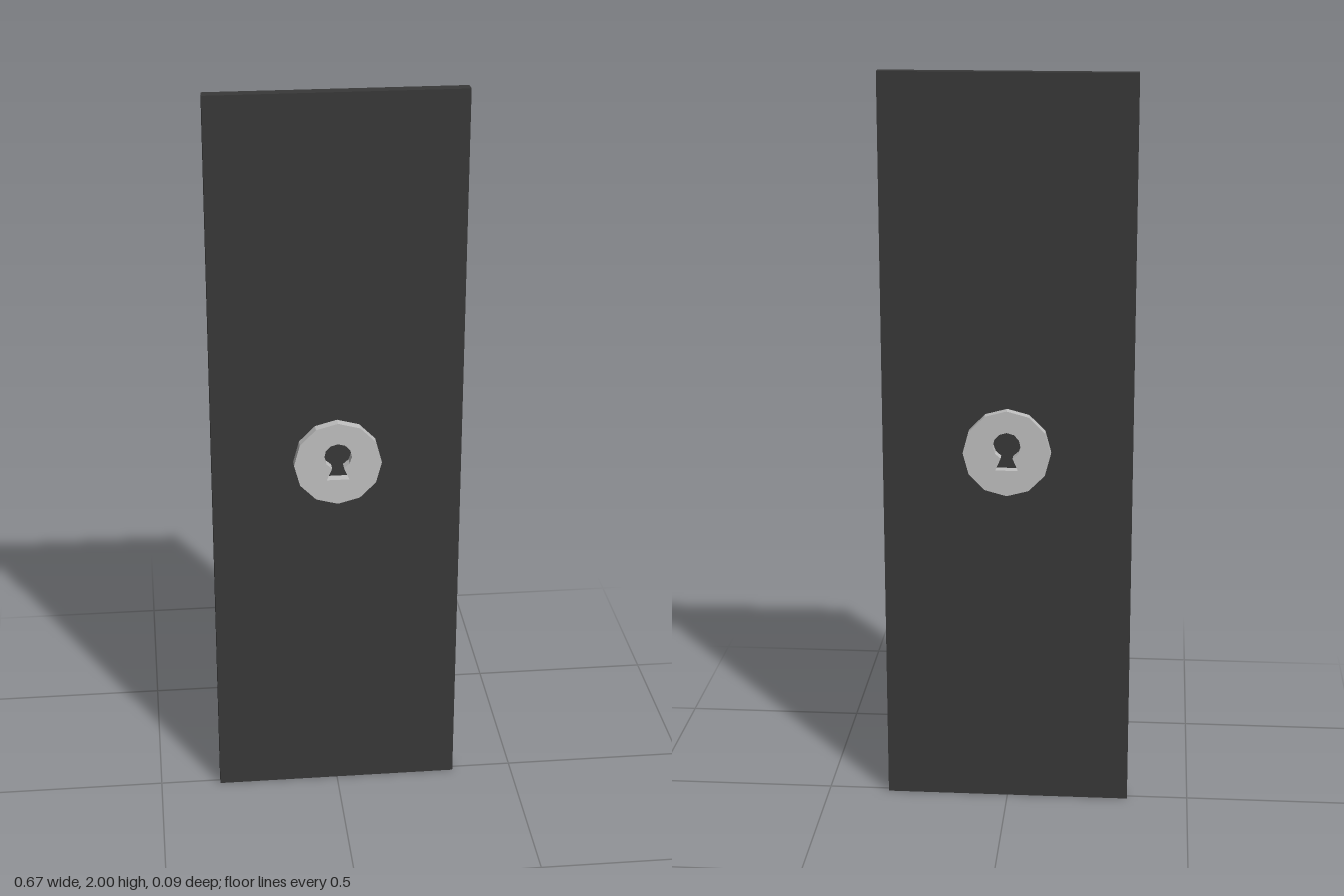
import * as THREE from 'three';

export function createModel() {
  const group = new THREE.Group();
  const darkPanel = new THREE.MeshStandardMaterial({ color: 0x383838 });
  darkPanel.name = 'darkPanel';
  const silver = new THREE.MeshStandardMaterial({ color: 0xc0c0c0 });
  silver.name = 'silver';

  // Door slab
  const door = new THREE.Mesh(new THREE.BoxGeometry(0.667, 2, 0.033), darkPanel);
  door.name = 'door';
  door.position.y = 1;
  group.add(door);

  // Twelve-sided lock plate outline
  const sides = 12, radius = 0.117;
  const plate = new THREE.Shape(Array.from({ length: sides }, (_, i) => {
    const a = (i / sides) * Math.PI * 2;
    return new THREE.Vector2(Math.cos(a) * radius, Math.sin(a) * radius);
  }));

  // Keyhole: round top, narrow neck, flared foot
  const hole = [new THREE.Vector2(-0.03, -0.046), new THREE.Vector2(0.03, -0.046)];
  const start = -Math.PI * 0.36, sweep = Math.PI * 1.72, steps = 10;
  for (let i = 0; i <= steps; i++) {
    const a = start + (sweep * i) / steps;
    hole.push(new THREE.Vector2(Math.cos(a) * 0.037, 0.021 + Math.sin(a) * 0.037));
  }
  plate.holes.push(new THREE.Path(hole));

  // One lock plate on each face of the door
  const depth = 0.027;
  const geometry = new THREE.ExtrudeGeometry(plate, { depth, bevelEnabled: false });
  for (const [name, turn] of [['frontLockPlate', 0], ['backLockPlate', Math.PI]]) {
    const lock = new THREE.Mesh(geometry, silver);
    lock.name = name;
    lock.rotation.y = turn;
    lock.position.set(0, 1.003, turn ? -0.0165 : 0.0165);
    group.add(lock);
  }
  return group;
}
